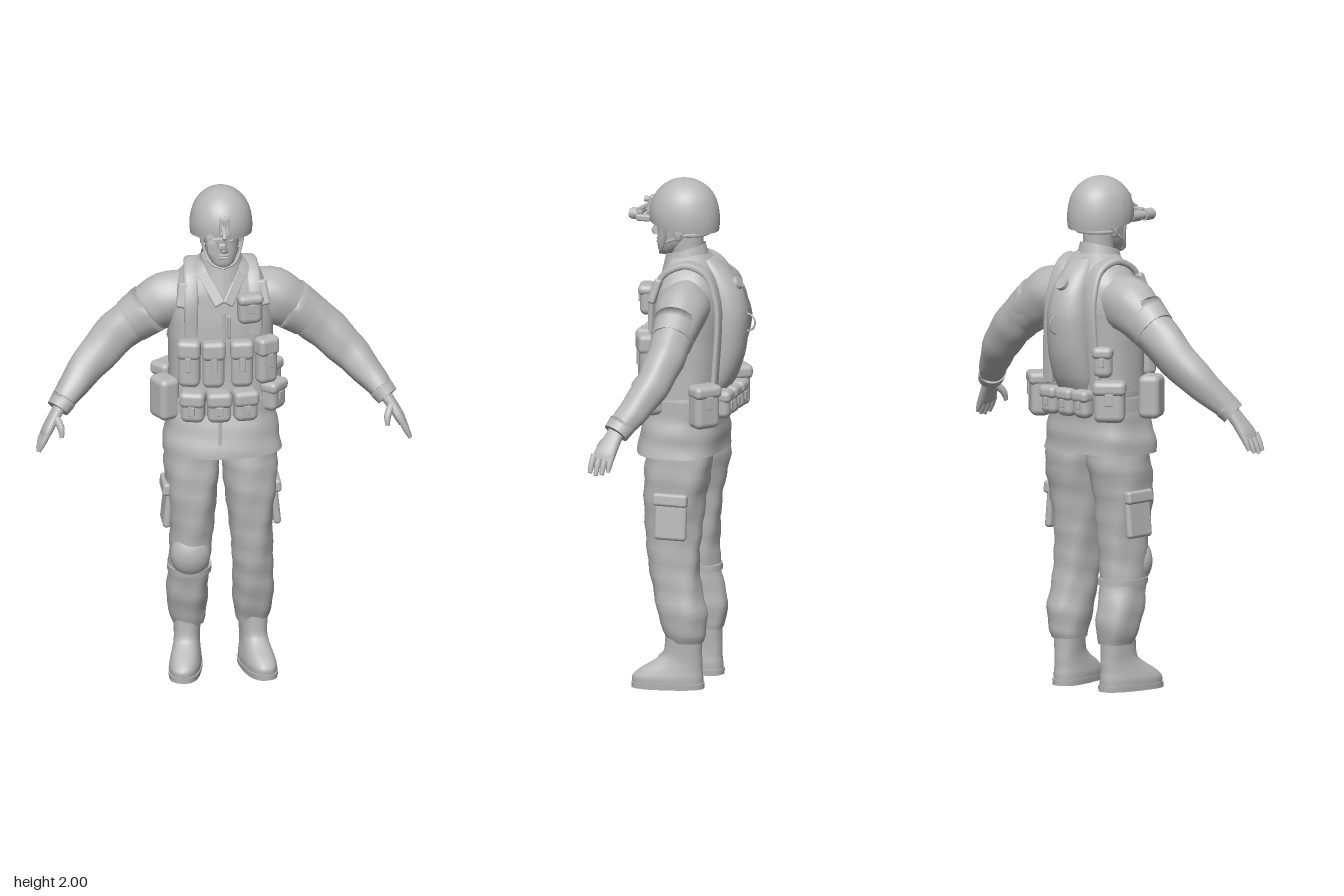
import * as THREE from 'three';
import { RoundedBoxGeometry } from 'three/addons/geometries/RoundedBoxGeometry.js';

const grey = new THREE.MeshStandardMaterial({ color: 0xb8b8b8, side: THREE.DoubleSide });
grey.name = 'plain grey';
const V = (x, y, z) => new THREE.Vector3(x, y, z);

function add(parent, name, geometry, x = 0, y = 0, z = 0, rx = 0, ry = 0, rz = 0) {
  const m = new THREE.Mesh(geometry, grey);
  m.name = name;
  m.position.set(x, y, z);
  m.rotation.set(rx, ry, rz, 'YXZ');
  parent.add(m);
  return m;
}

// Skin through superellipse sections; rows are [x, y, z, radiusU, radiusV].
// Without a hint the sections stay level, with one they follow the path.
function loft(rows, { n = 28, p = 2, k = 4, wrinkle = 0, hint = null } = {}) {
  const path = new THREE.CatmullRomCurve3(rows.map(r => V(r[0], r[1], r[2])), false, 'catmullrom', 0.4);
  const size = new THREE.CatmullRomCurve3(rows.map(r => V(r[3], r[4], 0)), false, 'catmullrom', 0.4);
  const steps = (rows.length - 1) * k, pos = [], index = [];
  const pw = c => Math.sign(c) * Math.pow(Math.abs(c), 2 / p);
  for (let i = 0; i <= steps; i++) {
    const c = path.getPoint(i / steps), s = size.getPoint(i / steps);
    let u = V(1, 0, 0), v = V(0, 0, 1);
    if (hint) {
      const t = path.getTangent(i / steps);
      v = hint.clone().addScaledVector(t, -t.dot(hint)).normalize();
      u = t.clone().cross(v);
    }
    for (let j = 0; j < n; j++) {
      const a = j / n * Math.PI * 2;
      const f = 1 + wrinkle * Math.sin(2 * a + c.y * 38) * Math.sin(3 * a - c.y * 23 + c.x * 9);
      const q = c.clone().addScaledVector(u, s.x * f * pw(Math.cos(a))).addScaledVector(v, s.y * f * pw(Math.sin(a)));
      pos.push(q.x, q.y, q.z);
      if (i < steps) {
        const A = i * n + j, B = i * n + (j + 1) % n;
        index.push(A, A + n, B, B, A + n, B + n);
      }
    }
  }
  // end caps with their own rim vertices
  for (const end of [0, steps]) {
    const base = pos.length / 3, c = path.getPoint(end / steps);
    for (let j = 0; j < n; j++) pos.push(...pos.slice((end * n + j) * 3, (end * n + j) * 3 + 3));
    pos.push(c.x, c.y, c.z);
    for (let j = 0; j < n; j++) {
      const A = base + j, B = base + (j + 1) % n;
      if (end) index.push(A, base + n, B); else index.push(A, B, base + n);
    }
  }
  const g = new THREE.BufferGeometry();
  g.setAttribute('position', new THREE.Float32BufferAttribute(pos, 3));
  g.setIndex(index);
  g.computeVertexNormals();
  return g;
}

const box = (w, h, d, r = 0.02) => new RoundedBoxGeometry(w, h, d, 3, Math.min(r, w / 2.1, h / 2.1, d / 2.1));

// Pouch with a closing flap, turned about y to face outwards
function pouch(parent, name, x, y, z, w, h, d, ry = 0, flap = 0.4) {
  const g = new THREE.Group();
  g.name = name;
  g.position.set(x, y, z);
  g.rotation.y = ry;
  add(g, 'pouchBody', box(w, h, d, 0.025));
  if (flap) {
    add(g, 'pouchFlap', box(w * 1.08, h * flap, d * 1.06, 0.02), 0, h * (0.51 - flap / 2), 0.006);
    add(g, 'pouchTab', box(w * 0.28, h * 0.3, 0.008, 0.003), 0, h * (0.42 - flap), d / 2 + 0.004);
  }
  parent.add(g);
}

export function createModel() {
  const model = new THREE.Group();
  model.name = 'soldier';

  // Jacket and vest
  add(model, 'jacketSkirt', loft([[0, 0.93, 0.03, 0.23, 0.165], [0, 1.0, 0.025, 0.222, 0.158],
    [0, 1.08, 0.015, 0.208, 0.145], [0, 1.18, 0.005, 0.2, 0.135]], { p: 2.6, wrinkle: 0.03, n: 40 }));
  add(model, 'jacketPlacket', box(0.012, 0.15, 0.008, 0.003), -0.02, 1.01, 0.182);
  add(model, 'vest', loft([[0, 1.07, 0.012, 0.203, 0.142], [0, 1.25, 0, 0.2, 0.138], [0, 1.4, -0.002, 0.204, 0.14],
    [0, 1.5, -0.01, 0.203, 0.14], [0, 1.59, -0.012, 0.185, 0.128], [0, 1.655, -0.008, 0.14, 0.1],
    [0, 1.71, 0.005, 0.07, 0.065]], { p: 2.6, n: 40, wrinkle: 0.01 }));
  add(model, 'belt', loft([[0, 1.1, 0.01, 0.214, 0.152], [0, 1.155, 0.008, 0.214, 0.152]], { p: 2.6, n: 40 }));
  add(model, 'vestZip', box(0.016, 0.2, 0.008, 0.003), 0, 1.42, 0.14);
  add(model, 'zipCord', new THREE.CapsuleGeometry(0.008, 0.08, 4, 8), 0.02, 1.46, 0.145);

  // Collar, slanting down to the front, and its lapels
  const collar = new THREE.CylinderGeometry(0.076, 0.105, 0.12, 28, 3, true);
  const cp = collar.attributes.position;
  for (let i = 0; i < cp.count; i++) cp.setY(i, cp.getY(i) - cp.getZ(i) * 0.3);
  collar.computeVertexNormals();
  add(model, 'collar', collar, 0, 1.665, 0.022);
  for (const s of [-1, 1]) {
    add(model, 'lapel', box(0.045, 0.14, 0.016, 0.007), s * 0.045, 1.605, 0.108, -0.4, s * 0.3, -s * 0.6);
  }

  // Neck, head and face
  add(model, 'neck', loft([[0, 1.6, 0, 0.07, 0.07], [0, 1.7, 0.015, 0.058, 0.062], [0, 1.8, 0.02, 0.06, 0.068]]));
  add(model, 'head', loft([[0, 1.695, 0.098, 0.022, 0.024], [0, 1.715, 0.088, 0.043, 0.045], [0, 1.75, 0.064, 0.06, 0.072],
    [0, 1.8, 0.045, 0.068, 0.09], [0, 1.85, 0.035, 0.073, 0.1], [0, 1.9, 0.03, 0.07, 0.09]], { p: 2.2 }));
  add(model, 'nose', loft([[0, 1.77, 0.137, 0.017, 0.02], [0, 1.785, 0.142, 0.014, 0.02],
    [0, 1.825, 0.13, 0.008, 0.012]], { n: 10 }));
  add(model, 'brow', box(0.105, 0.014, 0.03, 0.006), 0, 1.832, 0.122);
  for (const dy of [0, 0.011]) add(model, 'lip', box(0.038, 0.009, 0.014, 0.004), 0, 1.744 + dy, 0.131);
  for (const s of [-1, 1]) {
    const eye = add(model, 'eye', new THREE.SphereGeometry(0.011, 10, 8), s * 0.028, 1.812, 0.124);
    eye.scale.set(1.2, 0.6, 0.7);
    const ear = add(model, 'ear', new THREE.SphereGeometry(0.026, 12, 10), s * 0.072, 1.79, 0.03);
    ear.scale.set(0.4, 1.1, 0.7);
    const strap = (pts) => add(model, 'chinStrap', new THREE.TubeGeometry(new THREE.CatmullRomCurve3(pts), 16, 0.006, 6));
    strap([V(s * 0.085, 1.84, 0.08), V(s * 0.072, 1.77, 0.085), V(s * 0.048, 1.715, 0.11), V(0, 1.695, 0.125)]);
    strap([V(s * 0.085, 1.84, -0.03), V(s * 0.075, 1.78, 0.03), V(s * 0.068, 1.755, 0.08)]);
  }
  add(model, 'napeStrap', new THREE.TorusGeometry(0.078, 0.008, 6, 24, Math.PI), 0, 1.79, 0.01, -Math.PI / 2);

  // Helmet: dome whose rim drops at the sides and back
  const dome = new THREE.SphereGeometry(1, 40, 20, 0, Math.PI * 2, 0, 1.78);
  dome.scale(0.122, 0.14, 0.138);
  const dp = dome.attributes.position;
  for (let i = 0; i < dp.count; i++) {
    const low = Math.max(0, 1 - (dp.getY(i) + 0.03) / 0.1);
    dp.setY(i, dp.getY(i) - low * 0.017 * (1 - dp.getZ(i) / 0.138));
  }
  dome.computeVertexNormals();
  add(model, 'helmet', dome, 0, 1.86, 0.027);

  // Night sight on its helmet mount, in front of one eye
  const sight = new THREE.Group();
  sight.name = 'nightSight';
  model.add(sight);
  add(sight, 'mountPlate', box(0.038, 0.075, 0.02, 0.006), 0, 1.885, 0.164, -0.2);
  add(sight, 'mountKnob', new THREE.CylinderGeometry(0.012, 0.012, 0.03, 12), 0, 1.905, 0.175, Math.PI / 2);
  add(sight, 'mountArm', box(0.016, 0.016, 0.07, 0.005), -0.005, 1.872, 0.195, 0.5);
  add(sight, 'mountSlide', box(0.06, 0.018, 0.02, 0.005), -0.025, 1.85, 0.21);
  [[0.021, 0.05, 0.165], [0.017, 0.05, 0.2], [0.023, 0.045, 0.238], [0.018, 0.02, 0.258]].forEach(([r, l, z]) =>
    add(sight, 'sightTube', new THREE.CylinderGeometry(r, r, l, 16), -0.052, 1.83, z, Math.PI / 2));
  add(sight, 'sightBattery', box(0.03, 0.026, 0.06, 0.008), -0.015, 1.825, 0.2);

  for (const s of [-1, 1]) {
    // Sleeves, cuffs and shoulder patches
    const arm = new THREE.Group();
    arm.name = s > 0 ? 'leftArm' : 'rightArm';
    model.add(arm);
    const limb = (name, rows, o = {}) => add(arm, name,
      loft(rows.map(r => [r[0] * s, ...r.slice(1)]), { hint: V(0, 0, 1), n: 20, ...o }));
    limb('sleeve', [[0.1, 1.53, -0.025, 0.1, 0.09], [0.21, 1.515, -0.03, 0.11, 0.1], [0.31, 1.455, -0.035, 0.09, 0.08],
      [0.4, 1.383, -0.032, 0.085, 0.073], [0.5, 1.285, -0.005, 0.074, 0.066], [0.58, 1.2, 0.045, 0.057, 0.058],
      [0.636, 1.135, 0.09, 0.042, 0.05]], { wrinkle: 0.05, n: 28 });
    limb('cuff', [[0.615, 1.16, 0.075, 0.05, 0.056], [0.642, 1.128, 0.093, 0.045, 0.052]]);
    limb('shoulderPatch', [[0.27, 1.485, -0.03, 0.104, 0.089], [0.345, 1.43, -0.034, 0.091, 0.08]]);
    // Hand: palm, four fingers and thumb
    limb('palm', [[0.63, 1.14, 0.09, 0.024, 0.032], [0.658, 1.1, 0.105, 0.021, 0.036], [0.685, 1.055, 0.122, 0.02, 0.043],
      [0.697, 1.03, 0.128, 0.016, 0.042]], { p: 2.4 });
    for (let f = 0; f < 4; f++) {
      const z = 0.093 + f * 0.024, l = [0.8, 0.95, 1, 0.9][f];
      limb('finger', [[0.69, 1.05, z, 0.013, 0.0125], [0.69 + 0.02 * l, 1.05 - 0.04 * l, z + 0.005, 0.012, 0.012],
        [0.69 + 0.036 * l, 1.05 - 0.075 * l, z + 0.007, 0.007, 0.008]], { n: 10 });
    }
    limb('thumb', [[0.65, 1.1, 0.13, 0.015, 0.016], [0.636, 1.07, 0.158, 0.014, 0.014],
      [0.634, 1.035, 0.172, 0.008, 0.008]], { n: 10 });

    // Trousers with cargo pockets
    const leg = new THREE.Group();
    leg.name = s > 0 ? 'leftLeg' : 'rightLeg';
    model.add(leg);
    const upright = (name, rows, o) => add(leg, name, loft(rows.map(r => [r[0] * s, ...r.slice(1)]), o));
    upright('trouserLeg', [[0.125, 0.185, -0.017, 0.06, 0.07], [0.127, 0.22, -0.017, 0.07, 0.08], [0.13, 0.3, -0.005, 0.08, 0.096],
      [0.125, 0.4, 0.018, 0.078, 0.095], [0.12, 0.5, 0.03, 0.08, 0.1], [0.115, 0.62, 0.032, 0.085, 0.11],
      [0.115, 0.76, 0.03, 0.1, 0.122], [0.11, 0.88, 0.015, 0.108, 0.13], [0.105, 1.0, 0.01, 0.1, 0.12]],
      { p: 2.3, wrinkle: 0.05, n: 32 });
    add(leg, 'cargoPocket', box(0.03, 0.17, 0.13, 0.014), s * 0.208, 0.69, 0.015, 0, 0, s * 0.1);
    add(leg, 'cargoFlap', box(0.034, 0.05, 0.14, 0.012), s * 0.214, 0.765, 0.015, 0, 0, s * 0.1);
    // Boots, toes turned out a little
    const boot = new THREE.Group();
    boot.name = 'boot';
    boot.position.set(s * 0.13, 0, 0);
    boot.rotation.y = s * 0.2;
    leg.add(boot);
    add(boot, 'bootUpper', loft([[0, 0.012, 0.05, 0.06, 0.138], [0, 0.045, 0.05, 0.061, 0.138], [0, 0.075, 0.035, 0.056, 0.12],
      [0, 0.105, 0.01, 0.051, 0.095], [0, 0.14, -0.008, 0.05, 0.075], [0, 0.23, -0.012, 0.056, 0.07]], { p: 2.4 }));
    add(boot, 'bootSole', loft([[0, 0, 0.05, 0.062, 0.142], [0, 0.022, 0.05, 0.064, 0.143]], { p: 2.6 }));

    // Harness straps over the shoulders, and shoulder buckles
    add(model, 'harnessStrap', loft([[s * 0.125, 1.42, 0.12, 0.012, 0.026], [s * 0.125, 1.55, 0.113, 0.014, 0.028],
      [s * 0.12, 1.645, 0.065, 0.014, 0.03], [s * 0.11, 1.682, -0.02, 0.014, 0.03], [s * 0.095, 1.64, -0.1, 0.014, 0.03],
      [s * 0.105, 1.5, -0.145, 0.012, 0.028], [s * 0.125, 1.2, -0.135, 0.012, 0.026]],
      { hint: V(1, 0, 0), n: 14, p: 3 }));
    add(model, 'strapBuckle', box(0.045, 0.1, 0.03, 0.01), s * 0.155, 1.58, 0.095, -0.3, 0, s * 0.15);
  }

  // Knee pad on one leg
  const pad = add(model, 'kneePad', new THREE.SphereGeometry(1, 24, 16), -0.125, 0.5, 0.085);
  pad.scale.set(0.078, 0.092, 0.062);
  add(model, 'kneeStrap', loft([[-0.123, 0.415, 0.02, 0.085, 0.102], [-0.123, 0.44, 0.022, 0.086, 0.103]], { p: 2.3 }));

  // Magazine pouches across the chest, and small ones on the belt
  [[-0.135, 0.14, -0.25], [-0.043, 0.158, 0], [0.068, 0.158, 0], [0.165, 0.128, 0.5]].forEach(([x, z, ry]) =>
    pouch(model, 'magazinePouch', x, 1.315, z, 0.085, 0.19, 0.06, ry));
  [[-0.122, -0.25], [-0.022, 0], [0.08, 0.15]].forEach(([x, ry]) =>
    pouch(model, 'grenadePouch', x, 1.145, 0.172 - Math.abs(ry) * 0.05, 0.092, 0.125, 0.075, ry, 0.5));
  pouch(model, 'chestPouch', 0.1, 1.535, 0.142, 0.095, 0.12, 0.06, 0.2, 0.35);
  // Utility pouches on the sides and back
  pouch(model, 'sidePouch', -0.225, 1.155, 0.075, 0.11, 0.17, 0.085, -1.1, 0);
  pouch(model, 'hipPouch', 0.195, 1.16, 0.1, 0.1, 0.12, 0.07, 0.9);
  pouch(model, 'canteenPouch', 0.19, 1.145, -0.115, 0.11, 0.17, 0.08, 2.45, 0.3);
  pouch(model, 'canteenPouch', -0.185, 1.15, -0.12, 0.12, 0.16, 0.085, -2.45, 0.35);
  for (const x of [-0.085, 0, 0.085]) pouch(model, 'backPouch', x, 1.135, -0.16, 0.075, 0.11, 0.06, Math.PI, 0.45);
  pouch(model, 'backSidePouch', -0.15, 1.3, -0.12, 0.075, 0.12, 0.055, -2.6);

  // Water carrier on the back, with its hose loop
  add(model, 'waterCarrier', loft([[0, 1.17, -0.115, 0.075, 0.035], [0, 1.23, -0.125, 0.09, 0.06],
    [0, 1.33, -0.135, 0.095, 0.082], [0, 1.47, -0.14, 0.092, 0.09], [0, 1.57, -0.125, 0.08, 0.08],
    [0, 1.645, -0.095, 0.065, 0.058], [0, 1.69, -0.07, 0.045, 0.03]], { p: 2.2 }));
  add(model, 'carrierCap', new THREE.CylinderGeometry(0.025, 0.028, 0.02, 16), 0, 1.6, -0.19, -1);
  add(model, 'hoseLoop', new THREE.TorusGeometry(0.035, 0.004, 6, 20), 0, 1.445, -0.225, 0, Math.PI / 2);

  return model;
}
